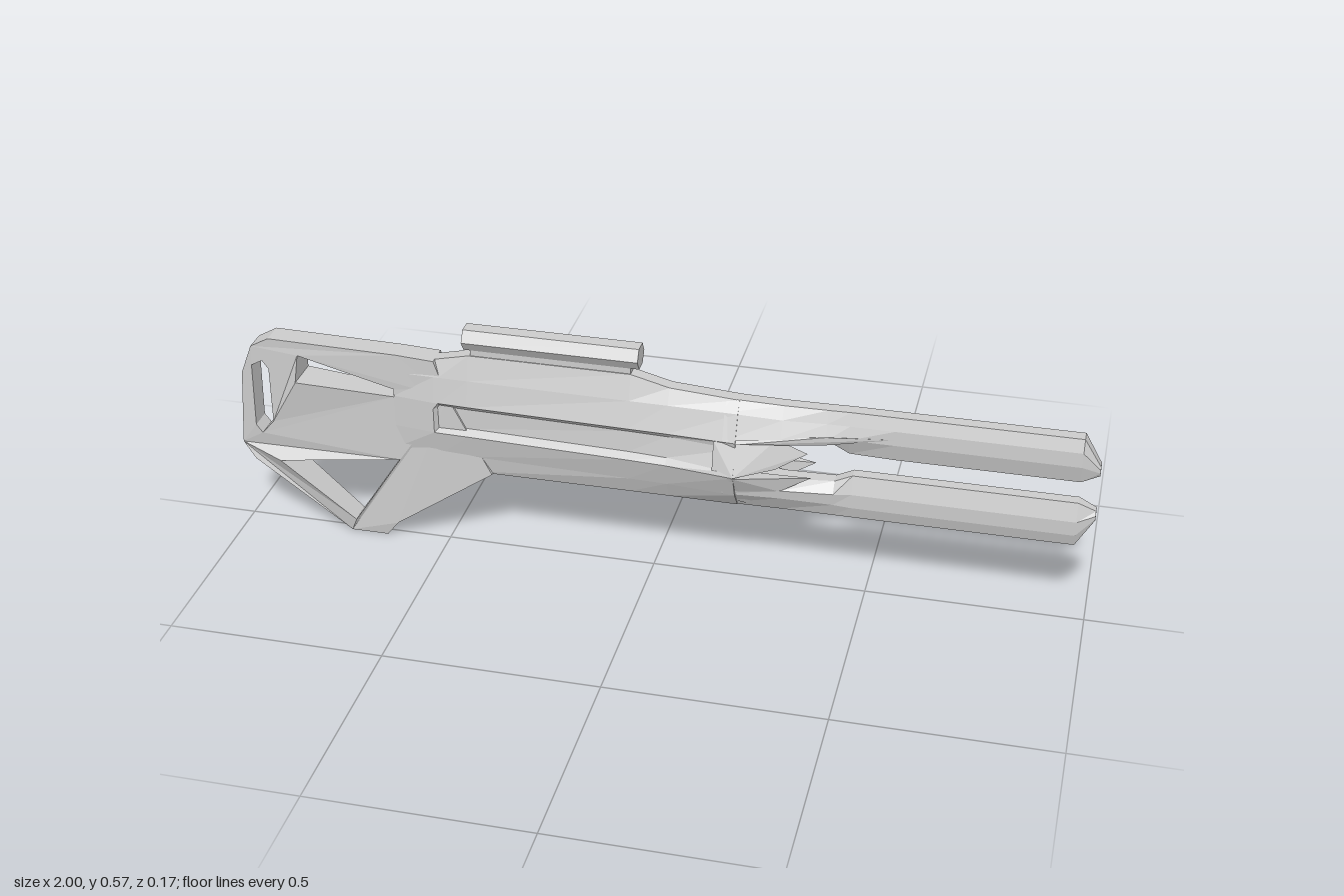
import * as THREE from 'three';
import { ConvexGeometry } from 'three/addons/geometries/ConvexGeometry.js';

const material = new THREE.MeshStandardMaterial({ color: 0xcccccc, flatShading: true });

function part(name, geometry) {
  const mesh = new THREE.Mesh(geometry, material);
  mesh.name = name;
  return mesh;
}

// Loft along x. Each section is [x, half profile of [y, z] from bottom to top], mirrored in z.
function loft(sections) {
  const n = sections[0][1].length, ring = 2 * n, pos = [], idx = [];
  for (const [x, half] of sections) {
    for (const [y, z] of half) pos.push(x, y, z);
    for (const [y, z] of [...half].reverse()) pos.push(x, y, -z);
  }
  for (let s = 0; s < sections.length - 1; s++) {
    for (let j = 0; j < ring; j++) {
      const a = s * ring + j, a2 = s * ring + (j + 1) % ring;
      idx.push(a, a + ring, a2 + ring, a, a2 + ring, a2);
    }
  }
  const end = (sections.length - 1) * ring;
  for (let i = 0; i < n - 1; i++) {
    const p = i, p2 = i + 1, q = ring - 1 - i, q2 = ring - 2 - i;
    idx.push(p, q2, q, p, p2, q2);
    idx.push(end + p, end + q, end + q2, end + p, end + q2, end + p2);
  }
  const g = new THREE.BufferGeometry();
  g.setAttribute('position', new THREE.Float32BufferAttribute(pos, 3));
  g.setIndex(idx);
  const flat = g.toNonIndexed();
  flat.computeVertexNormals();
  return flat;
}

// Linear interpolation through [x, value] stops
function ramp(stops, x) {
  for (let i = 1; i < stops.length; i++) {
    const [x0, v0] = stops[i - 1], [x1, v1] = stops[i];
    if (x <= x1) return v0 + (v1 - v0) * Math.max(0, (x - x0) / (x1 - x0));
  }
  return stops[stops.length - 1][1];
}

const points = (list) => list.map(([x, y]) => new THREE.Vector2(x, y));

// Open-frame stock: a plate with three holes whose thickness varies over the plate
function stockGeometry() {
  const shape = new THREE.Shape(points([
    [-1, 0.21], [-0.97, 0.17], [-0.74, 0], [-0.65, 0], [-0.62, 0.04], [-0.38, 0.208],
    [-0.48, 0.4], [-0.51, 0.49], [-0.6, 0.495], [-0.91, 0.5], [-0.955, 0.475], [-0.985, 0.4],
  ]));
  const holes = [
    [[-0.96, 0.265], [-0.945, 0.245], [-0.915, 0.28], [-0.915, 0.42], [-0.93, 0.44], [-0.957, 0.425]],
    [[-0.845, 0.4], [-0.61, 0.385], [-0.61, 0.405], [-0.84, 0.465]],
    [[-0.9, 0.183], [-0.725, 0.035], [-0.605, 0.217]],
  ];
  for (const h of holes) shape.holes.push(new THREE.Path(points(h)));
  const g = new THREE.ExtrudeGeometry(shape, { depth: 2, bevelEnabled: false }).translate(0, 0, -1);
  const p = g.attributes.position;
  for (let i = 0; i < p.count; i++) {
    const x = p.getX(i), y = p.getY(i);
    let w = ramp([[-1, 0.02], [-0.96, 0.027], [-0.85, 0.03], [-0.6, 0.028], [-0.38, 0.03]], x);
    if (y < 0.02) w = 0.021;
    // the central web swells beside its two openings
    if (Math.hypot(x + 0.845, y - 0.4) < 0.02 || Math.hypot(x + 0.9, y - 0.183) < 0.02) w = 0.043;
    p.setZ(i, p.getZ(i) * w);
  }
  g.computeVertexNormals();
  return g;
}

// Receiver section: lower flank, side groove, upper flank and narrow top
function bodySection(x, low, high, depth, top) {
  return [x, [
    [0.205, 0.02], [0.25, low * 0.67], [0.31, low], [0.322, low - depth],
    [0.372, high - depth], [0.388, high], [0.45, high * 0.35 + 0.016], [top, 0.016],
  ]];
}

// Convex shard, or its mirror image on the other side
function shard(list, side) {
  return new ConvexGeometry(list.map(([x, y, z]) => new THREE.Vector3(x, y, z * side)));
}

export function createModel() {
  const model = new THREE.Group();
  model.name = 'rifle';
  model.add(part('stock', stockGeometry()));

  // Receiver with a long recess on both sides
  model.add(part('receiver', loft([
    [-0.61, [[0.215, 0.02], [0.25, 0.025], [0.31, 0.028], [0.322, 0.028],
      [0.372, 0.028], [0.388, 0.028], [0.45, 0.028], [0.493, 0.026]]],
    bodySection(-0.512, 0.04, 0.04, 0, 0.49),
    bodySection(-0.5, 0.041, 0.04, 0.018, 0.492),
    bodySection(-0.43, 0.043, 0.043, 0.018, 0.508),
    bodySection(-0.05, 0.058, 0.053, 0.018, 0.508),
    bodySection(0.04, 0.063, 0.055, 0.016, 0.485),
    bodySection(0.2, 0.083, 0.062, 0.004, 0.474),
  ])));

  // Hexagonal sight rail on its neck
  const neck = [[0.485, 0.014], [0.528, 0.014]];
  model.add(part('sightNeck', loft([[-0.425, neck], [-0.05, neck]])));
  const hex = [[0.523, 0.016], [0.548, 0.033], [0.574, 0.017]];
  model.add(part('sightRail', loft([[-0.44, hex], [-0.03, hex]])));

  // Upper barrel, flaring back into the receiver
  const straight = [[0.367, 0.014], [0.41, 0.026], [0.445, 0.025], [0.475, 0.015]];
  const tip = [[0.385, 0.009], [0.395, 0.015], [0.402, 0.015], [0.408, 0.01]];
  model.add(part('upperBarrel', loft([
    [0.17, [[0.375, 0.03], [0.39, 0.061], [0.45, 0.037], [0.475, 0.015]]],
    [0.3, [[0.398, 0.02], [0.406, 0.051], [0.445, 0.033], [0.473, 0.015]]],
    [0.4, [[0.396, 0.014], [0.41, 0.04], [0.445, 0.026], [0.474, 0.015]]],
    [0.45, [[0.37, 0.014], [0.415, 0.034], [0.445, 0.025], [0.475, 0.015]]],
    [0.55, straight], [0.96, straight], [1, tip],
  ])));

  // Lower barrel, a reflected straight run with a deeper fairing
  const flip = (half) => half.map(([y, z]) => [0.68 - y, z]).reverse();
  model.add(part('lowerBarrel', loft([
    [0.17, [[0.205, 0.018], [0.25, 0.054], [0.28, 0.065], [0.3, 0.03]]],
    [0.3, [[0.205, 0.015], [0.248, 0.042], [0.27, 0.046], [0.288, 0.02]]],
    [0.42, [[0.205, 0.015], [0.24, 0.029], [0.27, 0.034], [0.294, 0.014]]],
    [0.46, flip(straight)], [0.96, flip(straight)], [1, flip(tip)],
  ])));

  // Jagged prongs either side of the muzzle gap, and slim fins above them
  const upper = [[0.15, 0.388, 0.058], [0.15, 0.31, 0.075], [0.2, 0.31, 0.083], [0.29, 0.33, 0.056],
    [0.36, 0.368, 0.035], [0.29, 0.4, 0.042], [0.15, 0.385, 0.02], [0.15, 0.32, 0.03]];
  const lower = [[0.15, 0.235, 0.04], [0.15, 0.3, 0.03], [0.15, 0.305, 0.074], [0.2, 0.308, 0.083],
    [0.37, 0.307, 0.035], [0.3, 0.268, 0.045], [0.22, 0.215, 0.025]];
  const fin = [[0.2, 0.385, 0.062], [0.2, 0.395, 0.05], [0.4, 0.398, 0.038], [0.55, 0.425, 0.027],
    [0.4, 0.42, 0.042], [0.4, 0.41, 0.02]];
  for (const [side, label] of [[1, 'front'], [-1, 'back']]) {
    model.add(part(label + 'UpperProng', shard(upper, side)));
    model.add(part(label + 'LowerProng', shard(lower, side)));
    model.add(part(label + 'Fin', shard(fin, side)));
  }
  return model;
}
